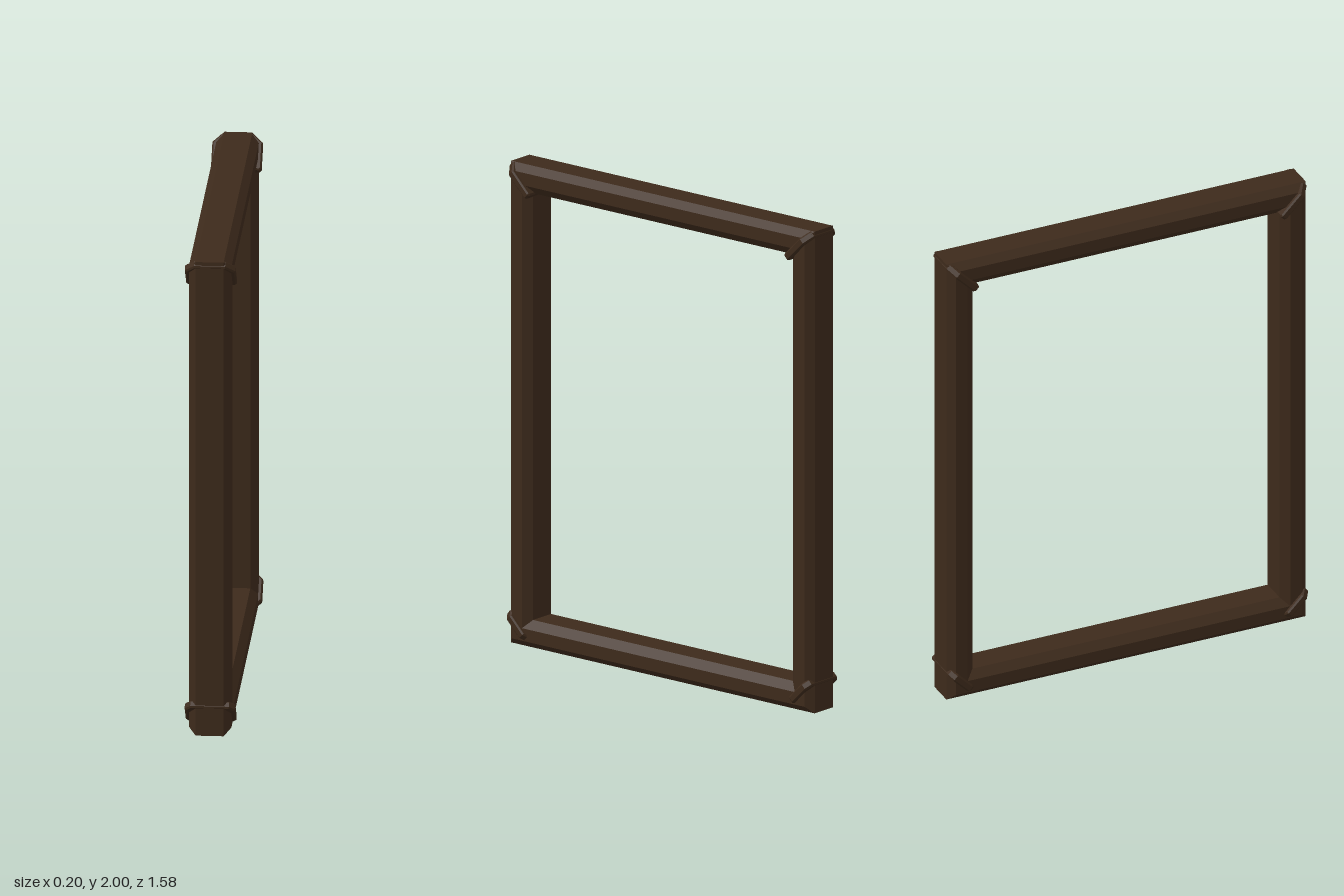
import * as THREE from 'three';

const wood = new THREE.MeshStandardMaterial({ color: 0x3d2a1b, flatShading: true });
const H = 2, Z = 0.79;

// Moulding cross-section: [x, depth in from the outer edge]
const half = [[0.056, 0], [0.085, 0.028], [0.085, 0.08], [0.056, 0.114]];
const profile = [...half, ...half.map(([x, d]) => [-x, d]).reverse()];

// Mitred cross-section at a frame corner (signs give which corner)
const section = ([sz, sy]) => profile.map(([x, d]) =>
  [x, H / 2 + sy * (H / 2 - d), sz * (Z - d)]);

function rail(name, from, to) {
  const a = section(from), b = section(to), pos = [];
  const n = profile.length;
  for (let i = 0; i < n; i++) {
    const j = (i + 1) % n;
    pos.push(...a[i], ...a[j], ...b[j], ...a[i], ...b[j], ...b[i]);
  }
  const g = new THREE.BufferGeometry();
  g.setAttribute('position', new THREE.Float32BufferAttribute(pos, 3));
  g.computeVertexNormals();
  const m = new THREE.Mesh(g, wood);
  m.name = name;
  return m;
}

// Flat corner plate with clipped corners, cutting through the frame at 45 degrees
function cornerPlate(name, y, cutTop, cutBottom) {
  const w = 0.095, l = 0.074, bevel = 0.006, t = 0.02;
  const s = new THREE.Shape([
    [w, -l + cutBottom], [w, l - cutTop], [w - cutTop, l], [-w + cutTop, l],
    [-w, l - cutTop], [-w, -l + cutBottom], [-w + cutBottom, -l], [w - cutBottom, -l],
  ].map(([x, u]) => new THREE.Vector2(x, u)));
  const g = new THREE.ExtrudeGeometry(s, {
    depth: t, bevelEnabled: true, bevelSegments: 1,
    bevelSize: bevel, bevelThickness: bevel,
  });
  g.translate(0, 0, -t / 2);
  const m = new THREE.Mesh(g, wood);
  m.name = name;
  m.rotation.x = Math.PI / 4;
  m.position.set(0, y, 0.728);
  return m;
}

export function createModel() {
  const model = new THREE.Group();
  model.name = 'frame';

  // Four mitred rails
  const corners = [[-1, -1], [1, -1], [1, 1], [-1, 1]];
  ['bottomRail', 'frontPost', 'topRail', 'backPost'].forEach((name, i) =>
    model.add(rail(name, corners[i], corners[(i + 1) % 4])));

  // Corner plates, front pair and the same pair turned to the back
  ['front', 'back'].forEach((end, i) => {
    const pair = new THREE.Group();
    pair.name = end + 'CornerPlates';
    pair.add(cornerPlate(end + 'TopPlate', 1.934, 0.035, 0.004),
      cornerPlate(end + 'BottomPlate', 0.076, 0.02, 0.04));
    pair.rotation.y = i * Math.PI;
    model.add(pair);
  });
  return model;
}
